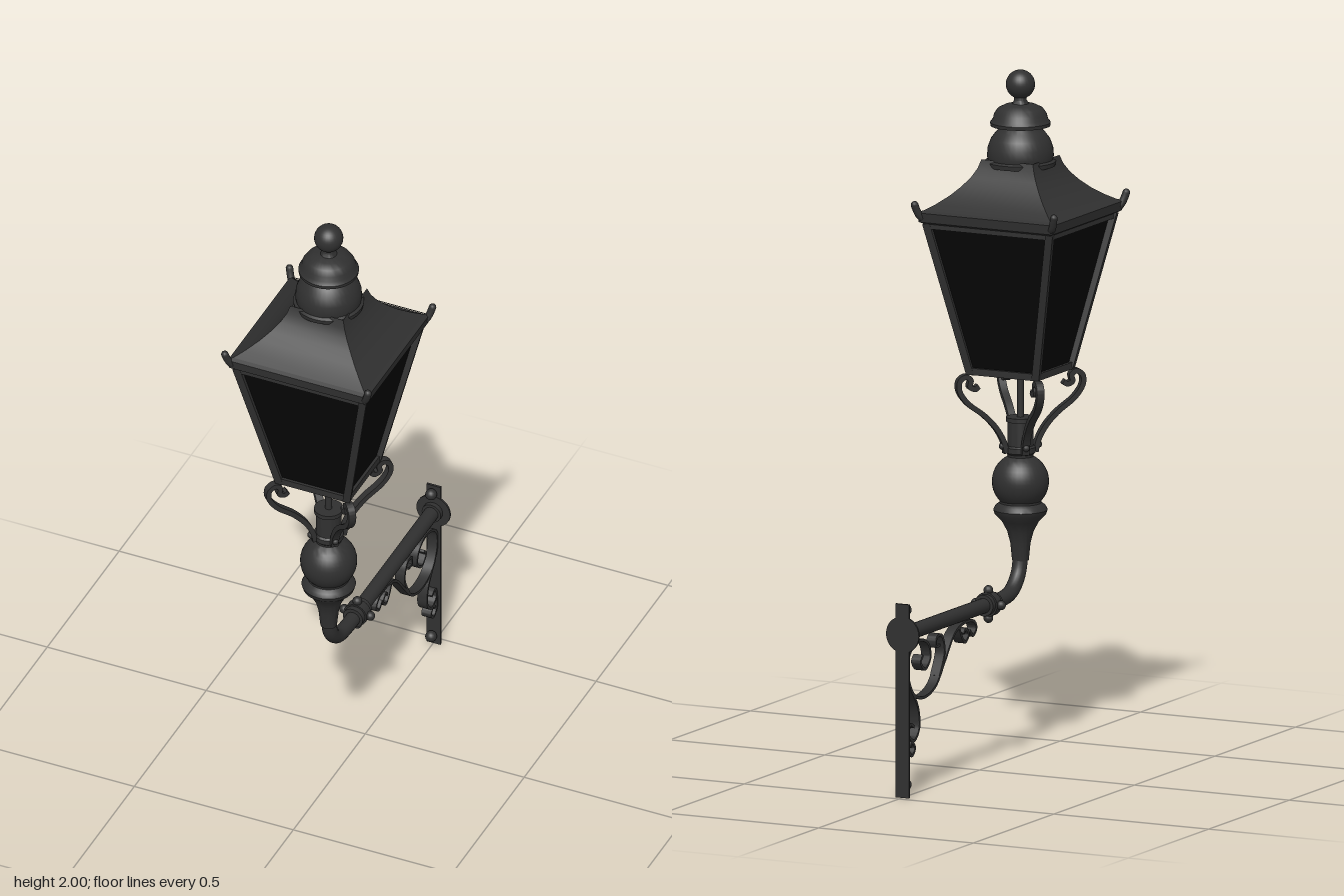
import * as THREE from 'three';
import { toCreasedNormals } from 'three/addons/utils/BufferGeometryUtils.js';

const iron = new THREE.MeshStandardMaterial({ color: 0x303030 });
iron.name = 'cast iron';
const glass = new THREE.MeshStandardMaterial({ color: 0x060606 });
glass.name = 'dark glass';

const AXIS = 0.254; // z of the lantern axis
const ARM_Y = 0.475; // height of the arm
const v2 = (p) => new THREE.Vector2(p[0], p[1]);

function add(parent, name, geometry, material = iron) {
  const mesh = new THREE.Mesh(geometry, material);
  mesh.name = name;
  parent.add(mesh);
  return mesh;
}

// Turned part from [radius, y] pairs, listed from the bottom up
const turned = (pts) => toCreasedNormals(new THREE.LatheGeometry(pts.map(v2), 36), 0.6);

// Square part from [half width, y] pairs, listed from the bottom up
const square = (pts) => toCreasedNormals(
  new THREE.LatheGeometry(pts.map(([h, y]) => new THREE.Vector2(h * Math.SQRT2, y)), 4, Math.PI / 4), 0.5);

// Flat iron strip following a curve in the xy plane
function strip(pts, thickness, width) {
  const curve = new THREE.SplineCurve(pts.map(v2));
  const n = pts.length * 6;
  const left = [], right = [];
  for (let i = 0; i <= n; i++) {
    const p = curve.getPoint(i / n), t = curve.getTangent(i / n);
    const side = new THREE.Vector2(-t.y, t.x).multiplyScalar(thickness / 2);
    left.push(p.clone().add(side));
    right.unshift(p.clone().sub(side));
  }
  const g = new THREE.ExtrudeGeometry(new THREE.Shape([...left, ...right]), { depth: width, bevelEnabled: false });
  return toCreasedNormals(g.translate(0, 0, -width / 2), 0.6);
}

// Square bar between two points
function bar(parent, name, a, b, size) {
  const from = new THREE.Vector3(...a), to = new THREE.Vector3(...b);
  const mesh = add(parent, name, new THREE.BoxGeometry(size, size, from.distanceTo(to)));
  mesh.position.copy(from).lerp(to, 0.5);
  mesh.quaternion.setFromUnitVectors(new THREE.Vector3(0, 0, 1), to.sub(from).normalize());
  return mesh;
}

function makeLantern() {
  const lantern = new THREE.Group();
  lantern.name = 'lantern';

  // Stem with ball and flared ring
  const ball = [];
  for (let i = 0; i <= 12; i++) {
    const a = -0.75 + i * (1.85 / 12);
    ball.push([0.082 * Math.cos(a), 0.8 + 0.082 * Math.sin(a)]);
  }
  add(lantern, 'stem', turned([
    [0.024, 0.57], [0.029, 0.62], [0.038, 0.655], [0.054, 0.685], [0.074, 0.705], [0.078, 0.718],
    [0.072, 0.73], [0.06, 0.738], ...ball, [0.038, 0.88], [0.043, 0.885], [0.043, 0.9],
    [0.037, 0.905], [0.037, 0.975], [0.042, 0.975], [0.042, 0.988], [0, 0.988]]));
  add(lantern, 'gasRod', new THREE.CylinderGeometry(0.01, 0.01, 0.17, 12)).position.y = 1.06;

  // Glazing and frame
  add(lantern, 'glassPanes', square([[0, 1.13], [0.104, 1.13], [0.192, 1.565]]), glass);
  for (let i = 0; i < 4; i++) {
    const side = new THREE.Group();
    side.name = 'frameSide';
    side.rotation.y = i * Math.PI / 2;
    lantern.add(side);
    bar(side, 'bottomRail', [-0.116, 1.13, 0.105], [0.116, 1.13, 0.105], 0.02);
    bar(side, 'topRail', [-0.2, 1.562, 0.196], [0.2, 1.562, 0.196], 0.018);
    bar(side, 'cornerPost', [0.106, 1.125, 0.106], [0.199, 1.57, 0.199], 0.022);
    bar(side, 'floorBar', [0, 1.125, 0], [0.105, 1.125, 0.105], 0.014);
  }

  // Roof and gutter
  add(lantern, 'gutter', square([[0, 1.567], [0.205, 1.567], [0.216, 1.573], [0.219, 1.6], [0.208, 1.606]]));
  add(lantern, 'roof', square([
    [0.21, 1.603], [0.18, 1.622], [0.15, 1.645], [0.125, 1.67], [0.105, 1.695], [0.091, 1.72], [0.083, 1.745]]));

  // Stacked vent caps and ball finial
  add(lantern, 'ventCap', turned([
    [0.07, 1.722], [0.1, 1.722], [0.102, 1.735], [0.094, 1.74], [0.096, 1.75], [0.094, 1.775],
    [0.085, 1.8], [0.07, 1.82], [0.055, 1.832], [0.05, 1.838], [0.086, 1.838], [0.087, 1.848],
    [0.079, 1.858], [0.076, 1.872], [0.065, 1.888], [0.045, 1.898], [0.024, 1.902],
    [0.018, 1.912], [0.018, 1.93]]));
  add(lantern, 'finial', new THREE.SphereGeometry(0.042, 28, 20)).position.y = 1.958;

  // Corner horns and scrolled legs, set on the diagonals
  const leg = strip([[0.09, 1.085], [0.098, 1.077], [0.109, 1.085], [0.107, 1.104], [0.118, 1.114], [0.131, 1.1],
    [0.13, 1.07], [0.112, 1.035], [0.078, 0.998], [0.053, 0.96], [0.037, 0.92], [0.031, 0.885]]
    .map(([h, y]) => [h * Math.SQRT2, y]), 0.015, 0.022);
  const hornCurve = new THREE.CatmullRomCurve3([[0.275, 1.575], [0.3, 1.588], [0.312, 1.608], [0.318, 1.624]]
    .map(([r, y]) => new THREE.Vector3(r, y, 0)));
  for (let i = 0; i < 4; i++) {
    const corner = new THREE.Group();
    corner.name = 'corner';
    corner.rotation.y = Math.PI / 4 + i * Math.PI / 2;
    lantern.add(corner);
    add(corner, 'scrollLeg', leg);
    add(corner, 'horn', new THREE.TubeGeometry(hornCurve, 10, 0.011, 10));
    add(corner, 'hornTip', new THREE.SphereGeometry(0.011, 12, 8)).position.set(0.318, 1.624, 0);
    add(corner, 'legBolt', new THREE.SphereGeometry(0.01, 10, 8)).position.set(0.055, 0.905, 0);
  }
  lantern.position.z = AXIS;
  return lantern;
}

function makeBracket() {
  const bracket = new THREE.Group();
  bracket.name = 'wallBracket';

  // Arm pipe with elbow
  const path = new THREE.CatmullRomCurve3([[0.254, 0.63], [0.254, 0.585], [0.239, 0.53], [0.195, 0.488],
    [0.13, ARM_Y], [0, ARM_Y], [-0.475, ARM_Y]].map(([z, y]) => new THREE.Vector3(0, y, z)));
  add(bracket, 'armPipe', new THREE.TubeGeometry(path, 70, 0.022, 20));

  // Clamp collar with bolts, wall collar and flange: [name, radius, length, z]
  for (const [name, r, len, z] of [['clampCollar', 0.031, 0.062, 0.055], ['clampRing', 0.036, 0.03, 0.055],
    ['wallCollar', 0.03, 0.014, -0.466], ['wallFlange', 0.053, 0.006, -0.476]]) {
    add(bracket, name, new THREE.CylinderGeometry(r, r, len, 28).rotateX(Math.PI / 2)).position.set(0, ARM_Y, z);
  }
  for (let i = 0; i < 4; i++) {
    const a = i * Math.PI / 2;
    add(bracket, 'clampBolt', new THREE.SphereGeometry(0.014, 14, 10))
      .position.set(Math.sin(a) * 0.041, ARM_Y + Math.cos(a) * 0.041, 0.055);
  }

  // Wall plate and its bolts
  add(bracket, 'wallPlate', new THREE.BoxGeometry(0.044, 0.565, 0.007)).position.set(0, 0.2825, -0.4775);
  for (const y of [0.035, 0.545]) {
    add(bracket, 'wallBolt', new THREE.SphereGeometry(0.017, 16, 12)).position.set(0, y, -0.458);
  }

  // Scrollwork below the arm, as [z, y] paths
  const scrolls = [
    [[-0.087, 0.424], [-0.066, 0.405], [-0.046, 0.426], [-0.07, 0.449], [-0.135, 0.449], [-0.188, 0.424],
      [-0.241, 0.361], [-0.299, 0.297], [-0.373, 0.276], [-0.437, 0.297], [-0.471, 0.361], [-0.458, 0.419],
      [-0.399, 0.446], [-0.347, 0.43], [-0.331, 0.387], [-0.363, 0.357], [-0.392, 0.38], [-0.378, 0.4]],
    [[-0.155, 0.446], [-0.135, 0.41], [-0.114, 0.394], [-0.094, 0.413], [-0.112, 0.432], [-0.124, 0.42]],
    [[-0.275, 0.322], [-0.244, 0.387], [-0.26, 0.437], [-0.292, 0.437], [-0.294, 0.412], [-0.27, 0.412]],
    [[-0.452, 0.312], [-0.41, 0.255], [-0.4, 0.195], [-0.431, 0.16], [-0.465, 0.18], [-0.456, 0.21], [-0.432, 0.2]],
    [[-0.472, 0.175], [-0.468, 0.14], [-0.447, 0.118], [-0.427, 0.137], [-0.444, 0.157], [-0.456, 0.145]],
  ];
  for (const pts of scrolls) {
    add(bracket, 'scroll', strip(pts, 0.008, 0.03)).rotation.y = -Math.PI / 2;
  }
  return bracket;
}

export function createModel() {
  const model = new THREE.Group();
  model.name = 'wallLantern';
  model.add(makeLantern(), makeBracket());
  return model;
}
